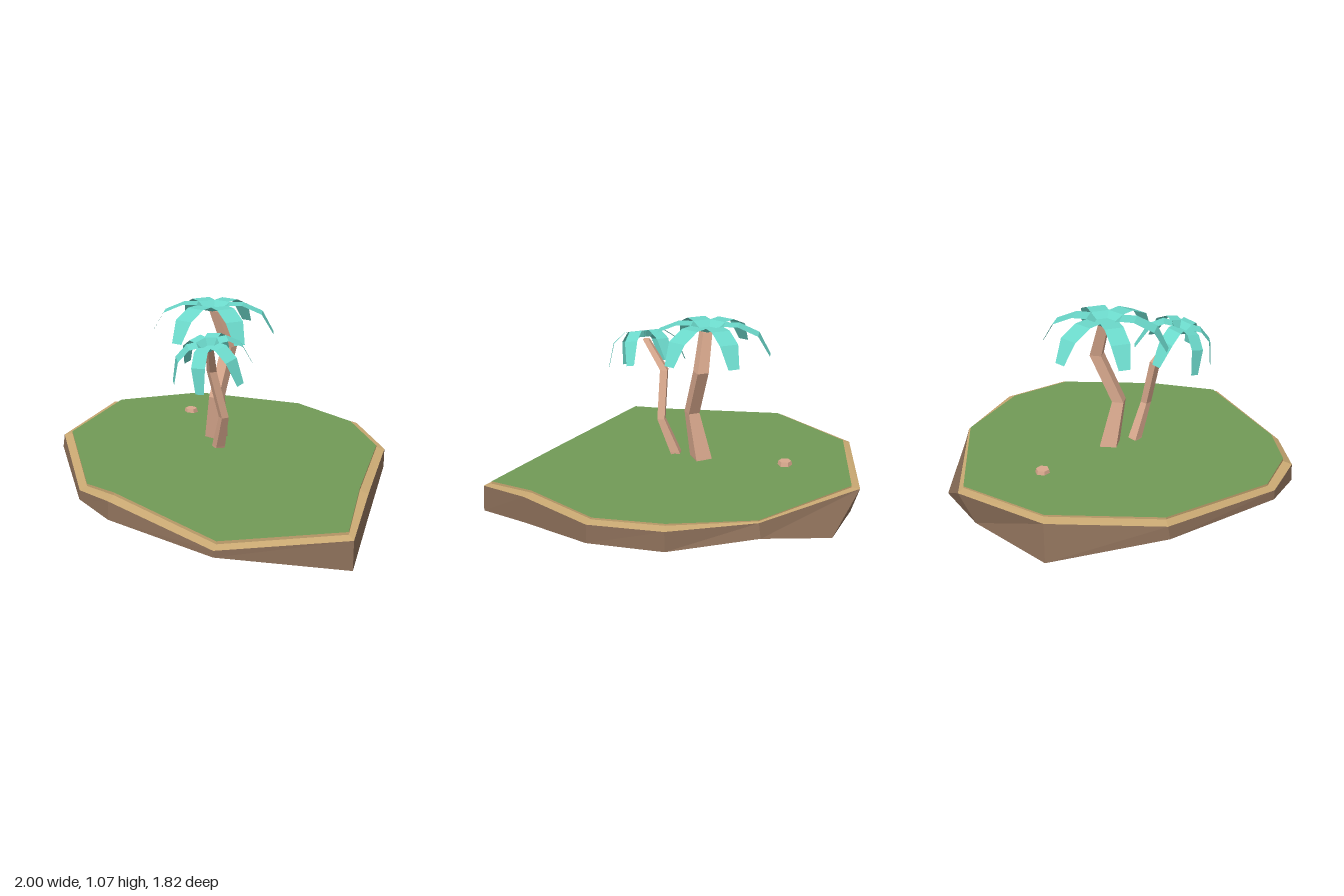
import * as THREE from 'three';

const makeMat = (name, color, flatShading = true, side = THREE.FrontSide) =>
  Object.assign(new THREE.MeshStandardMaterial({ color, side, flatShading }), { name });

// Flat-shaded mesh from a list of triangles, each made of three [x, y, z] corners
function facetMesh(name, tris, material) {
  const g = new THREE.BufferGeometry();
  g.setAttribute('position', new THREE.Float32BufferAttribute(tris.flat(2), 3));
  g.computeVertexNormals();
  const mesh = new THREE.Mesh(g, material);
  mesh.name = name;
  return mesh;
}

// Band between two loops that run clockwise seen from above
function band(lower, upper) {
  return lower.flatMap((a0, i) => {
    const j = (i + 1) % lower.length;
    return [[lower[j], a0, upper[i]], [lower[j], upper[i], upper[j]]];
  });
}

const fan = (centre, loop, up) => loop.map((p, i) => {
  const q = loop[(i + 1) % loop.length];
  return up ? [centre, q, p] : [centre, p, q];
});

// Bent four-sided trunk through a few [x, y, z, half width] stations
function trunk(stations, turn, material) {
  const rings = stations.map(([x, y, z, h]) => Array.from({ length: 4 }, (_, i) => {
    const a = turn + (i + 0.5) * Math.PI / 2, r = h * Math.SQRT2;
    return [x + r * Math.cos(a), y, z + r * Math.sin(a)];
  }));
  const tris = [];
  for (let i = 0; i + 1 < rings.length; i++) tris.push(...band(rings[i], rings[i + 1]));
  tris.push(...fan(stations[0].slice(0, 3), rings[0], false),
    ...fan(stations.at(-1).slice(0, 3), rings.at(-1), true));
  return facetMesh('trunk', tris, material);
}

// Six drooping fronds around a small cupped centre
function crown(reach, drop, width, phase, material) {
  const profile = [[0.05, -0.03, 0.029], [0.085, 0, 0.049], [0.16, 0, 0.05],
    [0.265, -0.045, 0.05], [0.328, -0.155, 0.03]];
  const group = new THREE.Group();
  group.name = 'crown';
  const heart = [];
  for (let k = 0; k < 6; k++) {
    const a = phase + k * Math.PI / 3, c = Math.cos(a), s = Math.sin(a);
    const rows = profile.map(([r, y, w]) => [-1, 1].map(side => {
      const d = r * reach, t = side * w * width;
      return [d * c - t * s, y * drop, d * s + t * c];
    }));
    const tris = [];
    for (let i = 0; i + 1 < rows.length; i++) {
      const [p, q] = rows[i], [u, v] = rows[i + 1];
      tris.push([p, q, v], [p, v, u]);
    }
    group.add(facetMesh('frond', tris, material));
    heart.push(...rows[0]);
  }
  group.add(facetMesh('crownHeart', fan([0, -0.03 * drop, 0], heart, true), material));
  return group;
}

export function createModel() {
  const model = new THREE.Group();
  model.name = 'palmIsland';
  const earth = makeMat('earth brown', 0x8d705a);
  const sand = makeMat('sand', 0xc9a872);
  const grass = makeMat('grass green', 0x719a57, false);
  const bark = makeMat('bark', 0xd8a88d);
  const leaf = makeMat('leaf teal', 0x6bd8ca, true, THREE.DoubleSide);

  // Island outline, clockwise from the back: underside, rim and lawn loops
  const underside = [[-0.07, 0.227, -0.912], [0.38, 0.188, -0.8], [0.69, 0.172, -0.54],
    [0.865, 0.08, -0.02], [1, 0, 0.38], [0.48, 0.095, 0.8], [-0.07, 0.19, 0.912],
    [-0.32, 0.212, 0.84], [-0.845, 0.25, 0.39], [-1, 0.134, -0.19], [-0.735, 0.134, -0.63],
    [-0.49, 0.134, -0.87]];
  const rim = [[-0.07, 0.3, -0.89], [0.38, 0.293, -0.797], [0.688, 0.273, -0.545],
    [0.865, 0.228, -0.02], [0.995, 0.153, 0.37], [0.48, 0.13, 0.8], [-0.07, 0.286, 0.908],
    [-0.315, 0.263, 0.84], [-0.843, 0.318, 0.378], [-0.967, 0.335, -0.2], [-0.732, 0.298, -0.715]];
  const lawn = [[-0.07, 0.31, -0.88], [0.36, 0.313, -0.755], [0.65, 0.293, -0.52],
    [0.82, 0.253, -0.01], [0.955, 0.181, 0.35], [0.47, 0.161, 0.76], [-0.07, 0.316, 0.86],
    [-0.3, 0.288, 0.8], [-0.8, 0.341, 0.36], [-0.92, 0.355, -0.21], [-0.69, 0.316, -0.7]];
  const step = lawn.map(([x, y, z], i) => [x, (y + rim[i][1]) / 2, z]);

  // The underside has one more corner than the rim, so the last rim corner is used twice
  model.add(facetMesh('earthBase',
    [...band(underside, [...rim, rim.at(-1)]), ...fan([-0.05, 0.2, 0], underside, false)], earth));
  model.add(facetMesh('sandRim', [...band(rim, step), ...band(step, lawn)], sand));

  // Lawn shaded as one soft, level surface
  const turf = facetMesh('lawn', fan([0, 0.323, 0], lawn, true), grass);
  const normal = turf.geometry.attributes.normal;
  for (let i = 0; i < normal.count; i++) normal.setXYZ(i, 0, 1, 0);
  model.add(turf);

  // Tall palm
  const tall = new THREE.Group();
  tall.name = 'tallPalm';
  tall.add(trunk([[-0.14, 0.18, -0.1, 0.047], [-0.115, 0.33, -0.07, 0.045],
    [-0.08, 0.575, -0.027, 0.031], [-0.08, 0.835, -0.145, 0.031],
    [-0.13, 1.038, -0.09, 0.026]], 0, bark));
  const tallCrown = crown(1, 1, 1, Math.PI / 6, leaf);
  tallCrown.position.set(-0.145, 1.073, -0.085);
  tall.add(tallCrown);

  // Short leaning palm
  const short = new THREE.Group();
  short.name = 'shortPalm';
  short.add(trunk([[-0.065, 0.17, 0.03, 0.027], [-0.015, 0.33, 0.05, 0.026],
    [0.05, 0.515, 0.095, 0.02], [0.012, 0.775, 0.15, 0.02],
    [0.075, 0.925, 0.255, 0.016]], Math.PI / 6, bark));
  const shortCrown = crown(0.64, 1.15, 0.74, Math.PI / 12, leaf);
  shortCrown.position.set(0.08, 0.967, 0.28);
  shortCrown.rotation.x = 0.28;
  short.add(shortCrown);
  model.add(tall, short);

  // Small stump in the grass
  const stump = new THREE.Mesh(new THREE.CylinderGeometry(0.034, 0.047, 0.05, 6), bark);
  stump.name = 'stump';
  stump.position.set(-0.49, 0.323, -0.34);
  model.add(stump);
  return model;
}
